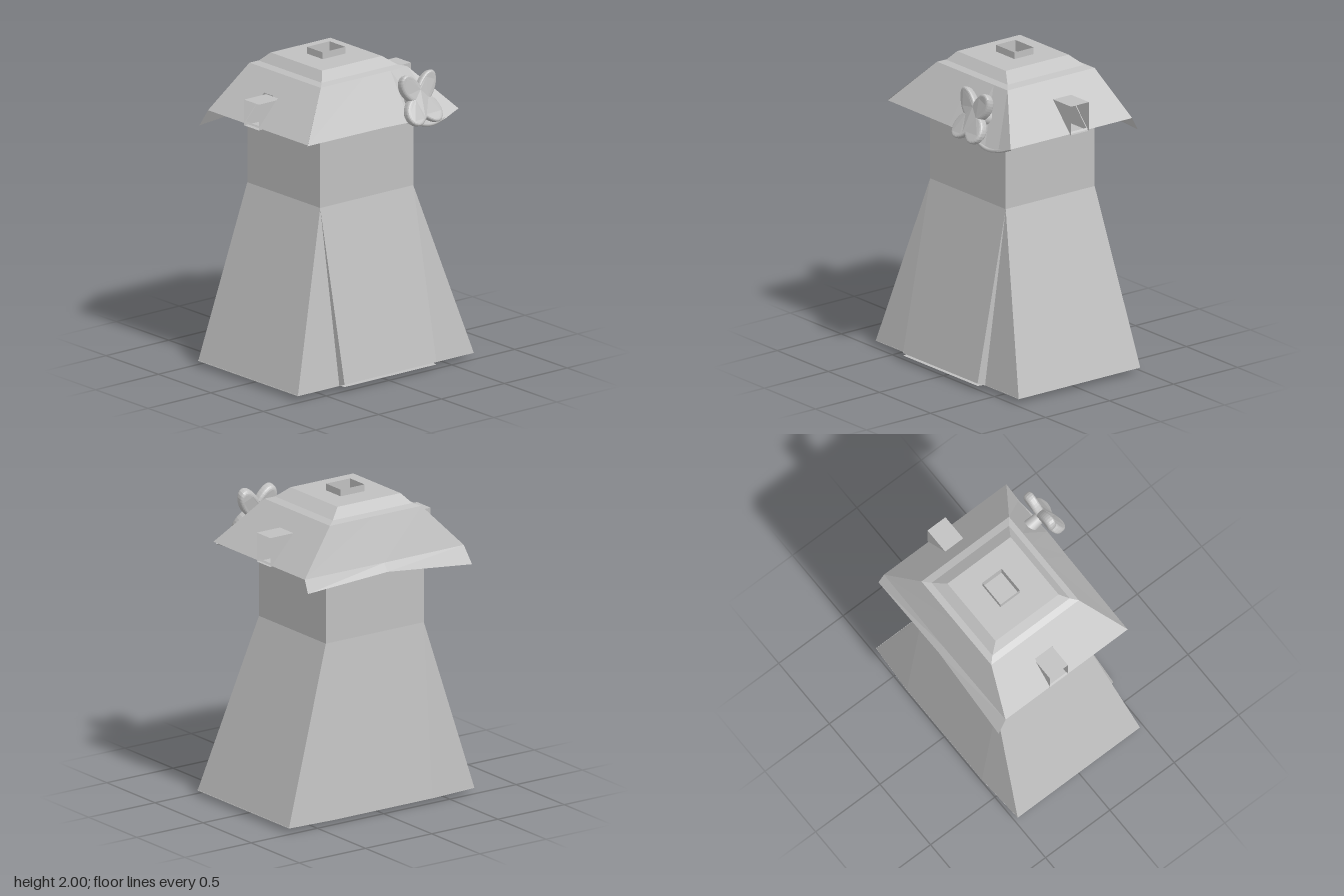
import * as THREE from 'three';

const grey = new THREE.MeshStandardMaterial({ color: 0xc0c0c0, side: THREE.DoubleSide });
grey.name = 'plainGrey';

// Surface through rows of [x, y, z] points, flat faceted
function sheet(rows, closed = false) {
  const pos = [];
  for (let r = 0; r < rows.length - 1; r++) {
    const a = rows[r], b = rows[r + 1], n = a.length;
    for (let i = 0; i < (closed ? n : n - 1); i++) {
      const j = (i + 1) % n;
      pos.push(...a[i], ...a[j], ...b[j], ...a[i], ...b[j], ...b[i]);
    }
  }
  const g = new THREE.BufferGeometry();
  g.setAttribute('position', new THREE.Float32BufferAttribute(pos, 3));
  g.computeVertexNormals();
  return g;
}

// Flat outline with rectangular holes [u0, u1, v0, v1], placed in space by a linear rule
function panel(outline, holes, place) {
  const toPoints = (list) => list.map(([u, v]) => new THREE.Vector2(u, v));
  const shape = new THREE.Shape(toPoints(outline));
  for (const [a, b, c, d] of holes) shape.holes.push(new THREE.Path(toPoints([[a, c], [a, d], [b, d], [b, c]])));
  const g = new THREE.ShapeGeometry(shape);
  const p = g.attributes.position;
  for (let i = 0; i < p.count; i++) p.setXYZ(i, ...place(p.getX(i), p.getY(i)));
  g.computeVertexNormals();
  return g;
}

const rect = (a, b, c, d) => [[a, c], [b, c], [b, d], [a, d]];
const ring = (x0, x1, y, z0, z1) => rect(x0, x1, z0, z1).map(([x, z]) => [x, y, z]);

export function createModel() {
  const model = new THREE.Group();
  const add = (name, geometry, parent = model) => {
    const m = new THREE.Mesh(geometry, grey);
    m.name = name;
    parent.add(m);
    return m;
  };

  // Flared skirt with a raised front panel and a slightly proud back
  const hem = [[0.7, 0.47], [0.37, 0.47], [0.36, 0.52], [-0.37, 0.52], [-0.37, 0.47],
    [-0.7, 0.47], [-0.7, -0.48], [-0.37, -0.5], [0.37, -0.5], [0.7, -0.48]];
  const waist = hem.map(([x, z]) => [x > 0 ? 0.36 : -0.38, 1.13, z > 0 ? 0.3 : -0.395]);
  add('skirt', sheet([hem.map(([x, z]) => [x, z > 0.5 ? 0.05 : 0.03, z]), waist], true));

  // Underside with two leg sockets
  const legs = [[-0.3, -0.12], [0.05, 0.23]];
  add('base', panel(hem, legs.map(([a, b]) => [a, b, -0.15, -0.01]), (x, z) => [x, 0.035, z]));
  for (const [a, b] of legs) {
    add('legSocket', sheet([ring(a, b, 0, -0.15, -0.01), ring(a, b, 0.05, -0.15, -0.01)], true));
  }

  // Upper body walls, with arm openings in the sides
  const armHole = [-0.15, -0.015, 1.61, 1.78];
  for (const z of [0.3, -0.395]) {
    add(z > 0 ? 'frontWall' : 'backWall', panel(rect(-0.38, 0.36, 1.13, 1.82), [], (x, y) => [x, y, z]));
  }
  for (const x of [-0.38, 0.36]) {
    add('sideWall', panel(rect(-0.395, 0.3, 1.13, 1.82), [armHole], (z, y) => [x, y, z]));
  }

  // Stepped crown of the roof with a square top socket
  const roof = new THREE.Group();
  roof.name = 'roof';
  model.add(roof);
  add('crown', sheet([
    ring(-0.35, 0.34, 1.885, -0.41, 0.27),
    ring(-0.31, 0.29, 1.9, -0.37, 0.23),
    ring(-0.265, 0.21, 1.957, -0.31, 0.18),
  ], true), roof);
  const topHole = [-0.11, 0.07, -0.15, 0];
  add('crownTop', panel(rect(-0.265, 0.21, -0.31, 0.18), [topHole], (x, z) => [x, 1.957, z]), roof);
  add('topSocket', sheet([ring(-0.11, 0.07, 1.93, -0.15, 0), ring(-0.11, 0.07, 2, -0.15, 0)], true), roof);

  // Side slopes and open arm sockets
  for (const s of [-1, 1]) {
    const top = s > 0 ? 0.34 : -0.35;
    const edge = s > 0 ? 0.595 : -0.605;
    add('sideSlope', panel([[0.27, 1.885], [0.45, 1.61], [-0.5, 1.61], [-0.41, 1.885]],
      [[-0.15, -0.015, 1.62, 1.775]],
      (z, y) => [top + (edge - top) * (1.885 - y) / 0.275, y, z]), roof);
    const y0 = s > 0 ? 1.605 : 1.595, y1 = s > 0 ? 1.79 : 1.76;
    const mouth = (x) => rect(-0.155, -0.015, y0, y1).map(([z, y]) => [x, y, z]);
    add('armSocket', sheet([mouth(s * 0.43), mouth(s * 0.605)], true), roof);
  }

  // Front slope with a sagging eave near the left corner
  const eave = [[-0.605, 1.605, 0.45], [0, 1.605, 0.455], [0.2, 1.6, 0.46], [0.36, 1.55, 0.465],
    [0.48, 1.565, 0.455], [0.595, 1.61, 0.45]];
  const ridgeX = (x) => -0.35 + (x + 0.605) / 1.2 * 0.69;
  add('frontSlope', sheet([eave, eave.map(([x]) => [ridgeX(x), 1.885, 0.27])]), roof);
  const curl = new THREE.CatmullRomCurve3([[0.18, 1.61, 0.44], [0.36, 1.555, 0.455],
    [0.48, 1.57, 0.44], [0.58, 1.61, 0.43]].map((p) => new THREE.Vector3(...p)));
  add('eaveCurl', new THREE.TubeGeometry(curl, 20, 0.013, 8), roof);

  // Back slope with a drooping flap
  add('backSlope', sheet([
    [[-0.35, 1.885, -0.41], [0, 1.885, -0.41], [0.34, 1.885, -0.41]],
    [[-0.605, 1.61, -0.5], [0, 1.61, -0.505], [0.595, 1.61, -0.5]],
    [[-0.62, 1.5, -0.565], [0, 1.56, -0.54], [0.6, 1.53, -0.54]],
  ]), roof);

  // Four-lobed bow tilted against the front slope
  const bow = new THREE.Group();
  bow.name = 'bow';
  bow.position.set(0.265, 1.745, 0.48);
  bow.rotation.x = -0.33;
  model.add(bow);
  const outline = new THREE.Shape();
  outline.moveTo(0, 0.055);
  outline.bezierCurveTo(0.04, 0.13, 0.1, 0.16, 0.115, 0.125);
  outline.bezierCurveTo(0.13, 0.08, 0.09, 0.02, 0.05, 0);
  outline.bezierCurveTo(0.13, -0.04, 0.13, -0.13, 0.08, -0.14);
  outline.bezierCurveTo(0.05, -0.145, 0.03, -0.12, 0, -0.1);
  outline.bezierCurveTo(-0.03, -0.12, -0.05, -0.145, -0.08, -0.14);
  outline.bezierCurveTo(-0.13, -0.13, -0.13, -0.04, -0.05, 0);
  outline.bezierCurveTo(-0.09, 0.02, -0.13, 0.08, -0.115, 0.125);
  outline.bezierCurveTo(-0.1, 0.16, -0.04, 0.13, 0, 0.055);
  const lobes = new THREE.ExtrudeGeometry(outline, {
    depth: 0.02, bevelThickness: 0.02, bevelSize: 0.02, bevelSegments: 4, curveSegments: 10,
  });
  // Bend the lobes forward away from the centre
  const p = lobes.attributes.position;
  for (let i = 0; i < p.count; i++) {
    p.setZ(i, p.getZ(i) - 0.02 + 1.2 * p.getY(i) ** 2);
  }
  lobes.computeVertexNormals();
  add('bowLobes', lobes, bow);
  const stem = add('bowStem', new THREE.CylinderGeometry(0.035, 0.045, 0.12, 16), bow);
  stem.rotation.x = Math.PI / 2;
  stem.position.z = -0.06;

  return model;
}
